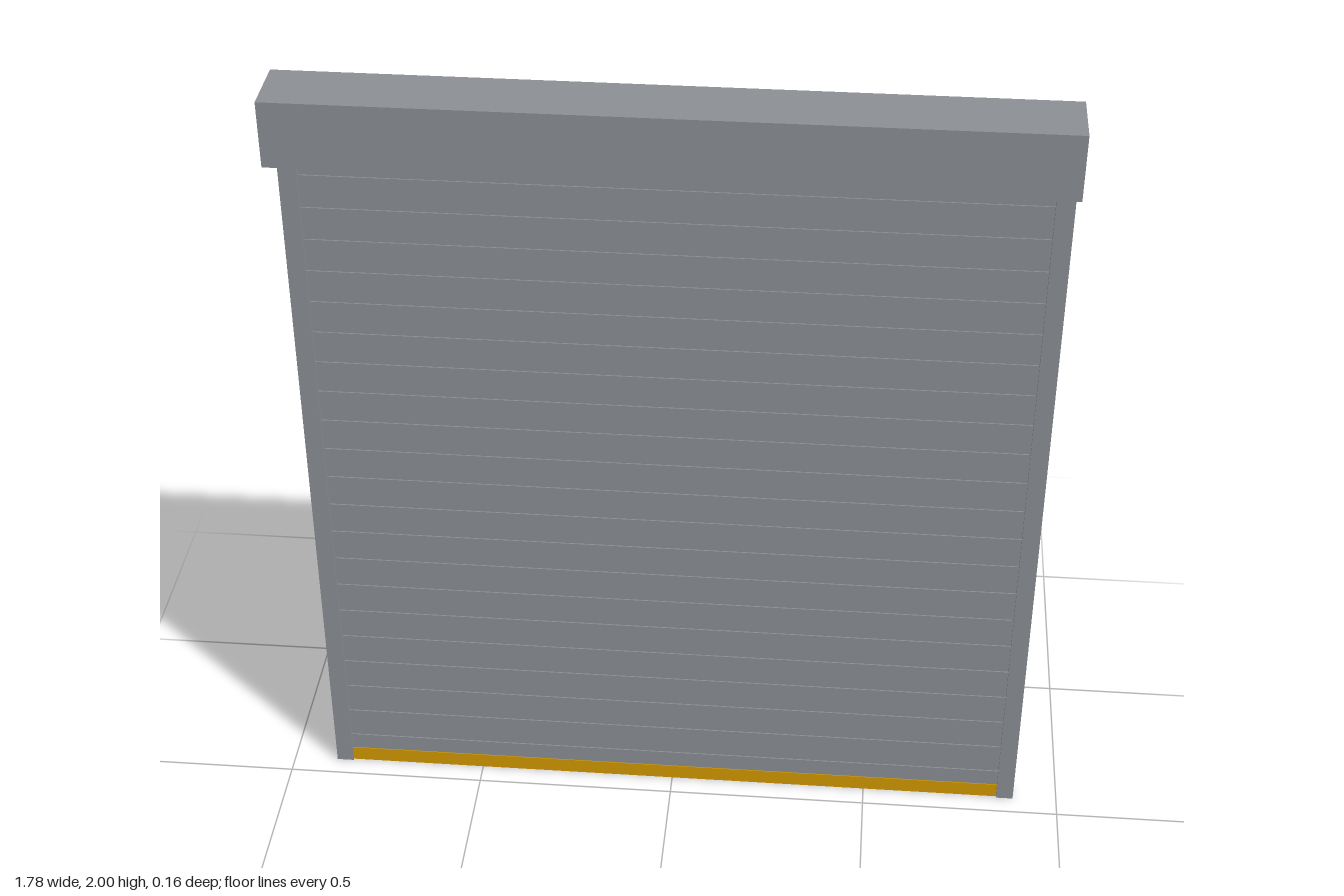
import * as THREE from 'three';

export function createModel() {
  const steel = new THREE.MeshStandardMaterial({ color: 0x8c9196 });
  steel.name = 'grey steel';
  const amber = new THREE.MeshStandardMaterial({ color: 0xd49a00 });
  amber.name = 'amber';

  const group = new THREE.Group();
  group.name = 'rollerShutter';

  const box = (name, w, h, d, x, y, z, material = steel) => {
    const mesh = new THREE.Mesh(new THREE.BoxGeometry(w, h, d), material);
    mesh.name = name;
    mesh.position.set(x, y, z);
    group.add(mesh);
  };

  const halfWidth = 0.888, railWidth = 0.043, railDepth = 0.028;
  const housingBottom = 1.842, curtainZ = -0.064;
  const inner = halfWidth - railWidth;

  // Housing for the rolled curtain
  box('housing', halfWidth * 2, 2 - housingBottom, 0.156, 0, (2 + housingBottom) / 2, 0);

  // Guide rails on both sides
  for (const [name, side] of [['rightRail', -1], ['leftRail', 1]]) {
    box(name, railWidth, housingBottom, railDepth,
      side * (halfWidth - railWidth / 2), housingBottom / 2, curtainZ);
  }

  // Curtain: one stepped outline of slats and shallow grooves, front then back
  const pitch = 0.0833, groove = 0.02, face = 0.007, recess = 0.004;
  const edge = [[face, 0.04]];
  for (let y = 0.085; y < housingBottom - groove; y += pitch) {
    edge.push([face, y], [recess, y], [recess, y + groove], [face, y + groove]);
  }
  edge.push([face, housingBottom]);
  const outline = [
    ...edge.map(([z, y]) => new THREE.Vector2(z, y)),
    ...edge.map(([z, y]) => new THREE.Vector2(-z, y)).reverse(),
  ];
  const curtainGeometry = new THREE.ExtrudeGeometry(new THREE.Shape(outline), {
    depth: inner * 2, bevelEnabled: false,
  });
  curtainGeometry.translate(0, 0, -inner);
  curtainGeometry.rotateY(-Math.PI / 2);
  const curtain = new THREE.Mesh(curtainGeometry, steel);
  curtain.name = 'slattedCurtain';
  curtain.position.z = curtainZ;
  group.add(curtain);

  // Coloured bar along the bottom of the curtain
  box('bottomBar', inner * 2, 0.04, 0.018, 0, 0.02, curtainZ, amber);

  return group;
}
